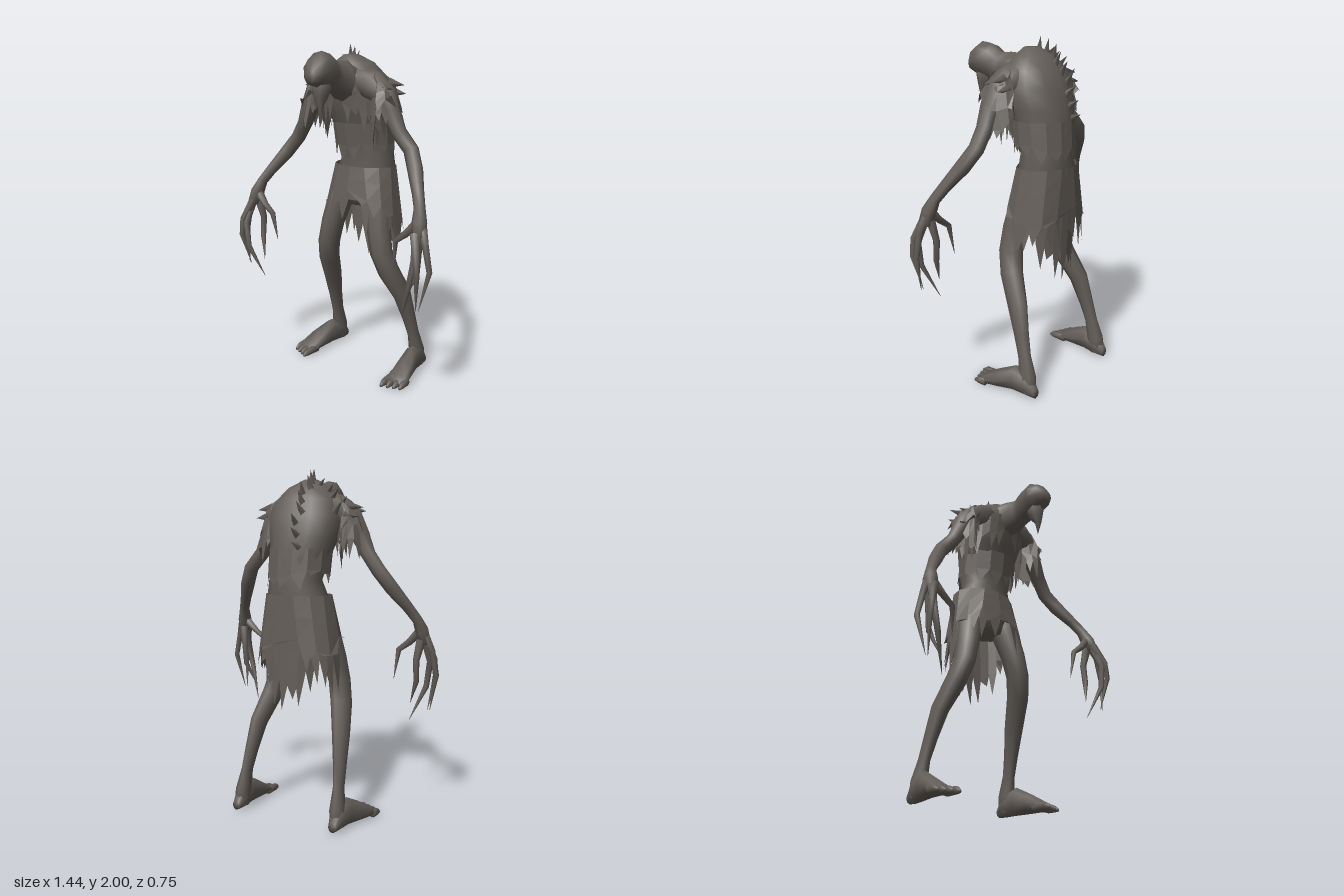
import * as THREE from 'three';

const V = (x, y, z) => new THREE.Vector3(x, y, z);
const hide = new THREE.MeshStandardMaterial({ color: 0x645e59, side: THREE.DoubleSide });
hide.name = 'ashen hide';

// Small seeded noise for ragged hems
let seed = 7;
const rand = () => (seed = (seed * 16807) % 2147483647) / 2147483647;

function meshFrom(name, pos, idx, flat) {
  let geo = new THREE.BufferGeometry();
  geo.setAttribute('position', new THREE.Float32BufferAttribute(pos, 3));
  geo.setIndex(idx);
  if (flat) geo = geo.toNonIndexed();
  geo.computeVertexNormals();
  const m = new THREE.Mesh(geo, hide);
  m.name = name;
  return m;
}

// Capped skin over elliptical sections [x, y, z, radiusU, radiusV]; axis fixes the ring plane
function loft(name, secs, sides = 8, ref = V(0, 0, 1), axis = null) {
  const pos = [], idx = [], n = secs.length;
  const c = secs.map(s => V(s[0], s[1], s[2]));
  secs.forEach((s, i) => {
    const t = axis ? axis.clone()
      : c[Math.min(i + 1, n - 1)].clone().sub(c[Math.max(i - 1, 0)]).normalize();
    const u = ref.clone().cross(t).normalize(), v = t.clone().cross(u);
    for (let j = 0; j < sides; j++) {
      const a = (j / sides) * Math.PI * 2;
      const p = c[i].clone().addScaledVector(u, s[3] * Math.cos(a)).addScaledVector(v, s[4] * Math.sin(a));
      pos.push(p.x, p.y, p.z);
    }
  });
  for (let i = 0; i < n - 1; i++) for (let j = 0; j < sides; j++) {
    const a = i * sides + j, b = i * sides + (j + 1) % sides;
    idx.push(a, b, a + sides, b, b + sides, a + sides);
  }
  const first = n * sides, top = (n - 1) * sides;
  pos.push(...c[0].toArray(), ...c[n - 1].toArray());
  for (let j = 0; j < sides; j++) {
    const k = (j + 1) % sides;
    idx.push(first, k, j, first + 1, top + j, top + k);
  }
  return meshFrom(name, pos, idx);
}

// Hanging cloth between a top line and a hem line, cut into jagged points
function tatter(name, n, topLine, hemLine, jag = 0.08) {
  const pos = [], idx = [];
  for (let i = 0; i <= n; i++) {
    const t = i / n, a = topLine(t), b = hemLine(t);
    const cut = 0.62 + rand() * 0.24;
    const tip = hemLine(Math.min(1, t + (0.25 + rand() * 0.5) / n));
    tip.y -= (rand() - 0.5) * jag * 2;
    const mid = a.clone().lerp(b, 0.35), low = a.clone().lerp(b, cut);
    for (const p of [a, mid, low, tip]) pos.push(p.x, p.y, p.z);
    if (i < n) {
      const k = i * 4;
      idx.push(k, k + 1, k + 4, k + 1, k + 5, k + 4);
      idx.push(k + 1, k + 2, k + 5, k + 2, k + 6, k + 5, k + 2, k + 3, k + 6);
    }
  }
  return meshFrom(name, pos, idx, true);
}

// Point on a horizontal oval; angle 0 faces front, a lower power is boxier
const bend = (v, k) => Math.sign(v) * Math.abs(v) ** k;
const oval = (cx, y, cz, rx, rz, a, k = 1) =>
  V(cx + rx * bend(Math.sin(a), k), y, cz + rz * bend(Math.cos(a), k));

function spike(p, dir, len, r) {
  const geo = new THREE.ConeGeometry(r, len, 4);
  geo.translate(0, len / 2 - 0.02, 0);
  const m = new THREE.Mesh(geo, hide);
  m.position.copy(p);
  m.quaternion.setFromUnitVectors(V(0, 1, 0), dir.normalize());
  m.name = 'spike';
  return m;
}

function arm(s) {
  const g = new THREE.Group();
  g.name = s > 0 ? 'leftArm' : 'rightArm';
  const path = pts => pts.map(([x, ...r]) => [x * s, ...r]);
  g.add(loft('armLimb', path([
    [0.05, 1.82, -0.04, 0.08, 0.11], [0.17, 1.775, -0.03, 0.085, 0.11], [0.25, 1.725, -0.025, 0.07, 0.085],
    [0.3, 1.64, -0.015, 0.055, 0.06], [0.355, 1.53, -0.02, 0.043, 0.048], [0.43, 1.435, -0.035, 0.043, 0.045],
    [0.49, 1.34, 0.01, 0.042, 0.045], [0.56, 1.23, 0.08, 0.032, 0.035], [0.6, 1.16, 0.12, 0.028, 0.035],
    [0.62, 1.09, 0.15, 0.04, 0.045], [0.635, 1.02, 0.17, 0.03, 0.045]])));
  // Long hooked fingers and thumb
  const digits = [
    [[0.64, 1.06, 0.15], [0.675, 0.98, 0.17], [0.705, 0.84, 0.17], [0.66, 0.62, 0.2]],
    [[0.63, 1.04, 0.18], [0.645, 0.9, 0.23], [0.62, 0.75, 0.24], [0.54, 0.55, 0.18]],
    [[0.62, 1.04, 0.19], [0.665, 0.92, 0.24], [0.675, 0.82, 0.245], [0.645, 0.62, 0.2]],
    [[0.62, 1.04, 0.14], [0.6, 0.92, 0.12], [0.6, 0.8, 0.13], [0.55, 0.66, 0.17]],
    [[0.61, 1.09, 0.15], [0.54, 1.02, 0.16], [0.475, 0.97, 0.16], [0.455, 0.8, 0.14]]];
  const rad = [0.028, 0.02, 0.017, 0.001];
  for (const d of digits) g.add(loft('clawFinger', path(d.map((p, i) => [...p, rad[i], rad[i]])), 6));
  // Ragged sleeve draped over the sloping shoulder
  const drape = (name, n, hem, rx, rz) => g.add(tatter(name, n,
    t => {
      const p = oval(s * 0.25, 0, -0.03, 0.055, 0.07, t * Math.PI * 2);
      p.y = 2.03 - Math.abs(p.x) * 0.92;
      return p;
    },
    t => oval(s * 0.27, hem + 0.06 * Math.sin(t * 13), -0.03, rx, rz, t * Math.PI * 2), 0.08));
  drape('shoulderRags', 13, 1.52, 0.075, 0.12);
  drape('shoulderRagsOver', 9, 1.63, 0.085, 0.125);
  // Loose strands at the shoulder point
  for (const [y, z, l] of [[1.79, -0.07, 0.1], [1.77, 0, 0.08], [1.74, -0.1, 0.09]])
    g.add(spike(V(0.27 * s, y, z), V(s, -0.1, z + 0.03), l, 0.028));
  return g;
}

function leg(s) {
  const g = new THREE.Group();
  g.name = s > 0 ? 'leftLeg' : 'rightLeg';
  const path = pts => pts.map(([x, ...r]) => [x * s, ...r]);
  g.add(loft('legLimb', path([
    [0.12, 1.18, -0.14, 0.07, 0.09], [0.15, 1.06, -0.11, 0.072, 0.09], [0.18, 0.93, -0.08, 0.066, 0.08],
    [0.207, 0.8, -0.07, 0.06, 0.077], [0.237, 0.68, -0.105, 0.06, 0.07], [0.28, 0.52, -0.19, 0.046, 0.066],
    [0.3, 0.36, -0.24, 0.035, 0.05], [0.312, 0.24, -0.275, 0.028, 0.045], [0.32, 0.12, -0.305, 0.043, 0.055],
    [0.325, 0.03, -0.315, 0.04, 0.05]])));
  g.add(loft('foot', path([
    [0.325, 0.04, -0.375, 0.025, 0.03], [0.325, 0.075, -0.32, 0.045, 0.07], [0.335, 0.088, -0.23, 0.05, 0.083],
    [0.355, 0.06, -0.12, 0.068, 0.056], [0.365, 0.036, -0.04, 0.075, 0.032], [0.365, 0.025, 0, 0.06, 0.02]]),
    8, V(0, 1, 0), V(0, 0, 1)));
  // Toes
  for (let i = 0; i < 4; i++) {
    const x = 0.312 + i * 0.036, e = 0.065 - i * 0.014;
    g.add(loft('toe', path([[x, 0.03, -0.06, 0.022, 0.026], [x + 0.003, 0.025, e - 0.03, 0.019, 0.022],
      [x + 0.005, 0.015, e, 0.008, 0.01]]), 6, V(0, 1, 0), V(0, 0, 1)));
  }
  return g;
}

export function createModel() {
  seed = 7;
  const g = new THREE.Group();
  g.name = 'hunchedCreature';
  const up = V(0, 1, 0), fwd = V(0, 0, 1), turn = Math.PI * 2;

  // Hunched trunk
  g.add(loft('torso', [
    [0, 1.06, -0.16, 0.13, 0.1], [0, 1.16, -0.165, 0.185, 0.135], [0.01, 1.26, -0.17, 0.195, 0.145],
    [0.025, 1.38, -0.175, 0.155, 0.14], [0.01, 1.5, -0.155, 0.175, 0.16], [0, 1.62, -0.12, 0.205, 0.175],
    [0, 1.74, -0.085, 0.23, 0.185], [0, 1.83, -0.065, 0.195, 0.16], [0, 1.9, -0.06, 0.125, 0.105],
    [0, 1.945, -0.04, 0.04, 0.045]], 12, fwd, up));

  // Neck, bowed head and pointed jaw
  g.add(loft('head', [
    [0, 1.78, -0.03, 0.14, 0.13], [0.02, 1.8, 0.08, 0.1, 0.115], [0.04, 1.815, 0.15, 0.068, 0.095],
    [0.045, 1.845, 0.21, 0.078, 0.105], [0.05, 1.865, 0.285, 0.086, 0.102], [0.055, 1.855, 0.345, 0.07, 0.075],
    [0.06, 1.835, 0.38, 0.035, 0.04]], 9, up, fwd));
  g.add(loft('jaw', [[0.055, 1.81, 0.27, 0.06, 0.07], [0.055, 1.73, 0.285, 0.04, 0.045],
    [0.06, 1.68, 0.295, 0.022, 0.02], [0.06, 1.6, 0.29, 0.001, 0.001]], 7));

  for (const s of [1, -1]) g.add(arm(s), leg(s));

  // Spines down the hunched back and on the right shoulder
  for (let i = 0; i < 9; i++) {
    const a = 0.08 + i * 0.18;
    const p = V(-0.03 - 0.014 * (i % 3), 1.55 + 0.385 * Math.cos(a), -0.05 - 0.24 * Math.sin(a));
    g.add(spike(p, V(-0.15 + 0.12 * (i % 3), Math.cos(a) + 0.35, -Math.sin(a)), 0.09, 0.026));
  }
  for (const [x, y, z] of [[-0.07, 1.89, -0.09], [-0.12, 1.86, -0.08], [-0.16, 1.83, -0.1], [-0.2, 1.79, -0.07],
    [-0.2, 1.76, -0.13]])
    g.add(spike(V(x, y, z), V(-0.7, 0.7, -0.2), 0.1, 0.03));

  // Torn shirt: open chest flaps and lower hem
  for (const s of [1, -1]) g.add(tatter('chestFlap', 6,
    t => oval(0, 1.79, -0.07, 0.21, 0.175, s * (0.15 + t * 1.5)),
    t => oval(0, 1.66 - 0.22 * t, -0.08, 0.215, 0.16, s * (0.15 + t * 1.5)), 0.07));
  g.add(tatter('shirtHem', 13,
    t => oval(0.01, 1.56, -0.138, 0.188, 0.172, t * turn),
    t => oval(0.015, 1.37, -0.16, 0.185, 0.165, t * turn), 0.05));

  // Tattered skirt in two layers: short in front, long behind
  const hemY = a => 0.9 + 0.07 * Math.cos(a) + 0.06 * Math.cos(2 * a);
  g.add(tatter('skirt', 22,
    t => oval(0.005, 1.29, -0.17, 0.198, 0.15, t * turn),
    t => oval(0.005, hemY(t * turn), -0.155, 0.25, 0.16, t * turn, 0.72), 0.09));
  g.add(tatter('skirtOver', 13,
    t => oval(0.005, 1.3, -0.17, 0.203, 0.153, t * turn),
    t => oval(0.005, hemY(t * turn) + 0.08, -0.155, 0.258, 0.167, t * turn, 0.72), 0.09));
  g.add(tatter('backPanel', 7,
    t => oval(0.01, 1.22, -0.165, 0.2, 0.155, Math.PI - 1 + t * 2),
    t => oval(0.03, 0.8 - 0.14 * Math.sin(t * Math.PI), -0.16, 0.19, 0.155, Math.PI - 1 + t * 2), 0.07));
  return g;
}
